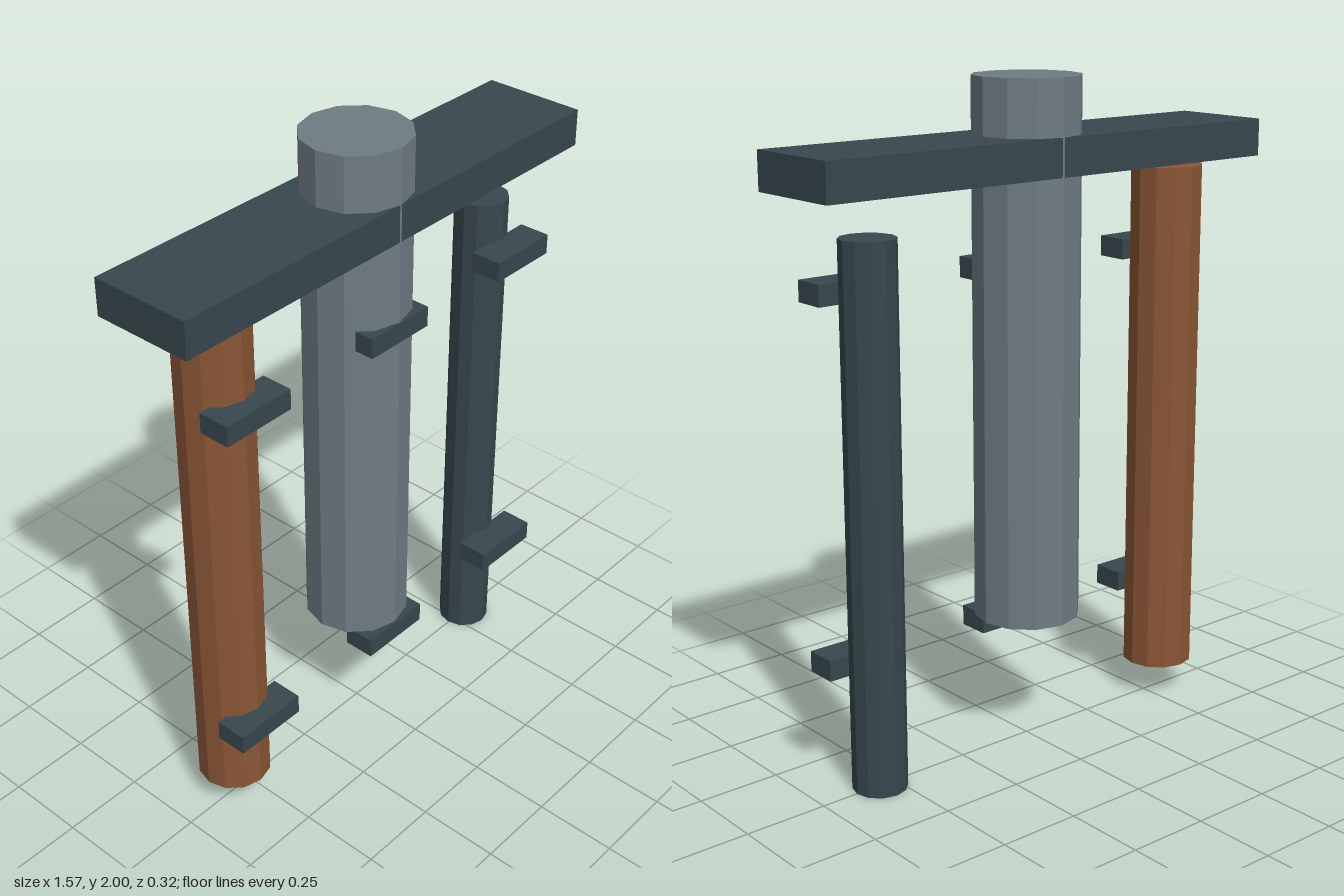
import * as THREE from 'three';

const mat = (name, color) => {
  const m = new THREE.MeshStandardMaterial({ color, flatShading: true });
  m.name = name;
  return m;
};

export function createModel() {
  const steel = mat('grey steel', 0x6f7c84);
  const rust = mat('rusty copper', 0x8a5635);
  const iron = mat('dark iron', 0x37484e);

  const model = new THREE.Group();
  model.name = 'pipeRack';
  const axisZ = -0.002;

  const add = (name, geometry, material, x, y, z) => {
    const mesh = new THREE.Mesh(geometry, material);
    mesh.name = name;
    mesh.position.set(x, y, z);
    model.add(mesh);
  };

  // Three vertical twelve-sided pipes, each with two wall clamps
  const pipes = [
    { name: 'rightPipe', material: rust, x: -0.555, r: 0.11, bottom: 0.105 },
    { name: 'centrePipe', material: steel, x: 0, r: 0.159, bottom: 0.4 },
    { name: 'leftPipe', material: iron, x: 0.555, r: 0.081, bottom: 0 },
  ];
  const length = 1.6;
  for (const { name, material, x, r, bottom } of pipes) {
    add(name, new THREE.CylinderGeometry(r, r, length, 12), material, x, bottom + length / 2, axisZ);
    for (const y of [0.367, 1.446]) {
      add(name + 'Clamp', new THREE.BoxGeometry(0.233, 0.062, 0.098), iron, x, y, 0.112);
    }
  }

  // Cross beam the centre pipe passes through
  add('crossBeam', new THREE.BoxGeometry(1.574, 0.111, 0.316), iron, 0, 1.781, axisZ);

  return model;
}
